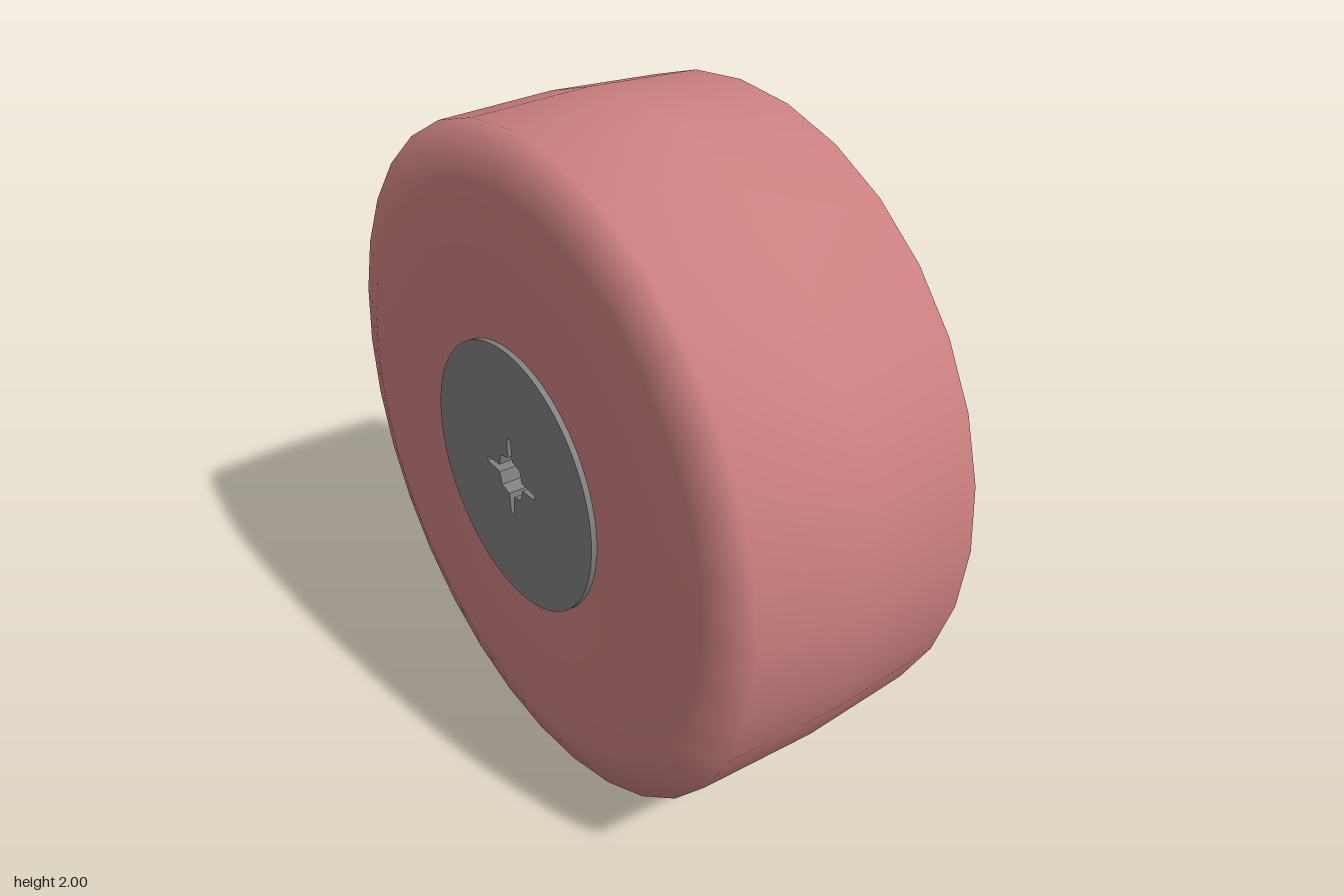
import * as THREE from 'three';
import { toCreasedNormals } from 'three/addons/utils/BufferGeometryUtils.js';

const rubber = new THREE.MeshStandardMaterial({ color: 0xcc8080 });
const metal = new THREE.MeshStandardMaterial({ color: 0x808080 });

// Revolve [radius, x] points around the x axis.
function revolve(points, segments) {
  const profile = points.map(([r, x]) => new THREE.Vector2(r, x));
  return new THREE.LatheGeometry(profile, segments).rotateZ(-Math.PI / 2);
}

// Cylinder lying along x between x0 and x1.
function rod(radius, x0, x1, segments) {
  return new THREE.CylinderGeometry(radius, radius, x1 - x0, segments)
    .rotateZ(-Math.PI / 2)
    .translate((x0 + x1) / 2, 0, 0);
}

export function createModel() {
  const wheel = new THREE.Group();
  wheel.name = 'wheel';
  wheel.position.y = 1;

  function add(name, geometry, material) {
    const mesh = new THREE.Mesh(geometry, material);
    mesh.name = name;
    wheel.add(mesh);
    return mesh;
  }

  // Tyre: gently crowned tread, rounded shoulders, nearly flat sidewalls
  const half = [[0.38, 0.4], [0.62, 0.413], [0.84, 0.405], [0.985, 0.36]];
  const section = [
    ...half.map(([r, x]) => [r, -x]),
    [1, 0],
    ...half.slice().reverse(),
  ];
  add('tyre', revolve(section, 32), rubber);

  // Rim: outer wall, front lip, deep well and its floor
  const rim = revolve(
    [[0.4, -0.1], [0.4, 0.418], [0.335, 0.418], [0.335, 0], [0.001, 0]], 48);
  add('rim', toCreasedNormals(rim, 0.6), metal);

  // Hub boss in the well with four short studs
  add('hubBoss', rod(0.2, 0, 0.21, 32), metal);
  for (const y of [-0.1, 0.1]) {
    for (const z of [-0.1, 0.1]) {
      add('stud', rod(0.07, 0.15, 0.26, 24), metal).position.set(0, y, z);
    }
  }

  // Back plate with a cross-shaped axle socket: square core and thin slots
  const plate = new THREE.Shape().absarc(0, 0, 0.4, 0, Math.PI * 2, false);
  const arm = [[0.05, -0.05], [0.06, -0.012], [0.125, -0.008], [0.125, 0.008], [0.06, 0.012]];
  const socket = [];
  for (let i = 0; i < 4; i++) {
    for (const [x, y] of arm) {
      socket.push(new THREE.Vector2(x, y)
        .rotateAround(new THREE.Vector2(), i * Math.PI / 2));
    }
  }
  plate.holes.push(new THREE.Path(socket));
  const backPlate = new THREE.ExtrudeGeometry(plate, {
    depth: 0.3, bevelEnabled: false, curveSegments: 48,
  }).rotateY(Math.PI / 2).translate(-0.418, 0, 0);
  add('backPlate', toCreasedNormals(backPlate, 0.6), metal);

  // Web closing the socket behind the well
  add('hubWeb', rod(0.39, -0.118, -0.01, 48), metal);

  const model = new THREE.Group();
  model.add(wheel);
  return model;
}
